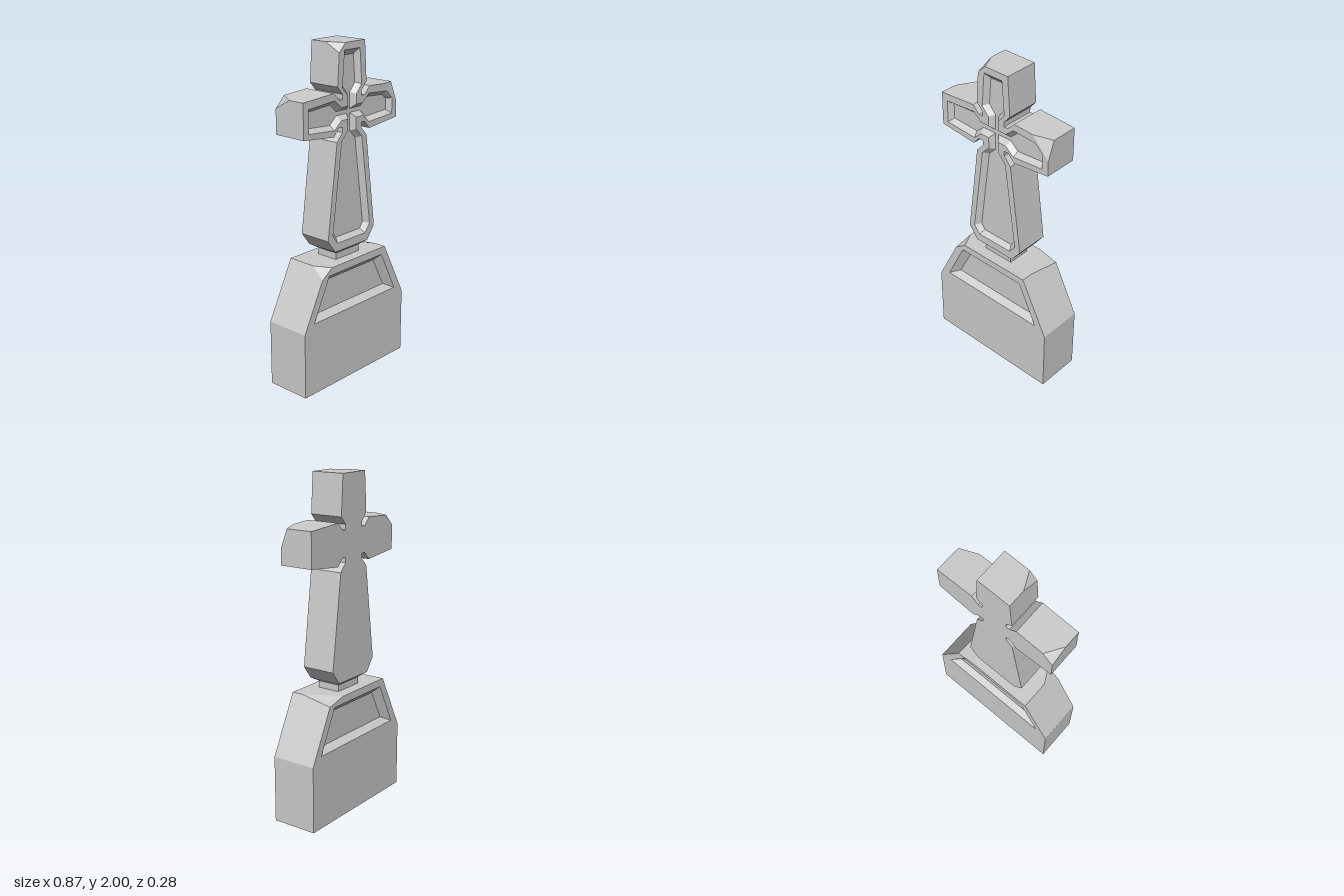
import * as THREE from 'three';

const mirror = half => [...half, ...half.slice().reverse().map(([x, y]) => [-x, y])];

function makeMesh(name, positions) {
  const geometry = new THREE.BufferGeometry();
  geometry.setAttribute('position', new THREE.Float32BufferAttribute(positions, 3));
  geometry.computeVertexNormals();
  const mesh = new THREE.Mesh(geometry, new THREE.MeshStandardMaterial({ color: 0xcccccc, flatShading: true }));
  mesh.name = name;
  return mesh;
}

// Stone slab from a counter-clockwise outline, with chipped corners and optional sunken panels.
// chips: { cornerIndex: { back, a, b, z } }; a and b lie on the edges before and after the corner.
function makeSlab(name, outline, zFront, zBack, chips, frontPanel, backPanel) {
  const out = [];
  const tri = (p, q, r) => out.push(...p, ...q, ...r);
  const at = (p, z) => [p[0], p[1], z];
  const corners = outline.map((p, i) => {
    const chip = chips[i];
    const cut = chip && [chip.a, chip.b];
    return { p, chip, front: chip && !chip.back ? cut : [p], back: chip && chip.back ? cut : [p] };
  });

  // side walls and chips
  corners.forEach((c, i) => {
    const n = corners[(i + 1) % corners.length];
    const a = at(c.front.at(-1), zFront), b = at(n.front[0], zFront);
    const a2 = at(c.back.at(-1), zBack), b2 = at(n.back[0], zBack);
    tri(a, a2, b2);
    tri(a, b2, b);
    if (!c.chip) return;
    const deep = at(c.p, c.chip.z);
    if (c.chip.back) {
      const A = at(c.chip.a, zBack), B = at(c.chip.b, zBack), P = at(c.p, zFront);
      tri(deep, A, B); tri(P, A, deep); tri(P, deep, B);
    } else {
      const A = at(c.chip.a, zFront), B = at(c.chip.b, zFront), P = at(c.p, zBack);
      tri(A, deep, B); tri(A, P, deep); tri(deep, P, B);
    }
  });

  // flat face with a hole, sloped panel walls and panel floor
  const face = (points, z, panel, dir) => {
    const put = (p, q, r) => (dir > 0 ? tri(p, q, r) : tri(p, r, q));
    const fill = (contour, hole, depth) => {
      const v = list => list.map(p => new THREE.Vector2(...p));
      const all = [...contour, ...hole];
      for (const f of THREE.ShapeUtils.triangulateShape(v(contour), hole.length ? [v(hole)] : []))
        put(...f.map(k => at(all[k], depth)));
    };
    fill(points, panel ? panel.rim.slice().reverse() : [], z);
    if (!panel) return;
    const floorZ = z - dir * panel.depth;
    fill(panel.floor, [], floorZ);
    panel.rim.forEach((p, i) => {
      const j = (i + 1) % panel.rim.length;
      const a = at(p, z), b = at(panel.rim[j], z);
      const a2 = at(panel.floor[i], floorZ), b2 = at(panel.floor[j], floorZ);
      put(a, b, b2);
      put(a, b2, a2);
    });
  };
  face(corners.flatMap(c => c.front), zFront, frontPanel, 1);
  face(corners.flatMap(c => c.back), zBack, backPanel, -1);
  return makeMesh(name, out);
}

// Rectangular rings [y, halfWidth, halfDepth] joined from bottom to top
function makeRings(name, rings) {
  const out = [];
  const ring = ([y, w, d]) => [[-w, y, d], [w, y, d], [w, y, -d], [-w, y, -d]];
  for (let k = 0; k < rings.length - 1; k++) {
    const lo = ring(rings[k]), hi = ring(rings[k + 1]);
    for (let i = 0; i < 4; i++) {
      const j = (i + 1) % 4;
      out.push(...lo[i], ...lo[j], ...hi[j], ...lo[i], ...hi[j], ...hi[i]);
    }
  }
  return makeMesh(name, out);
}

export function createModel() {
  const group = new THREE.Group();
  group.name = 'stoneCrossMonument';

  // plinth with a sunken panel on both faces
  const plinthOutline = mirror([[0.435, 0], [0.435, 0.4], [0.26, 0.745]]);
  const plinthPanel = {
    rim: mirror([[0.357, 0.445], [0.23, 0.7]]),
    floor: mirror([[0.295, 0.478], [0.2, 0.663]]),
    depth: 0.04,
  };
  group.add(makeSlab('plinth', plinthOutline, 0.14, -0.14, {
    2: { back: true, a: [0.275, 0.715], b: [0.15, 0.745], z: 0.07 },
    3: { a: [-0.21, 0.745], b: [-0.288, 0.69], z: 0.04 },
  }, plinthPanel, plinthPanel));

  // neck, flaring out to the foot of the cross
  group.add(makeRings('neck', [[0.74, 0.1, 0.07], [0.785, 0.1, 0.07], [0.81, 0.14, 0.103]]));

  // cross with notched inner corners
  const crossOutline = mirror([
    [0.14, 0.81], [0.2, 0.89], [0.125, 1.455], [0.08, 1.505], [0.08, 1.535],
    [0.11, 1.535], [0.15, 1.49], [0.39, 1.515], [0.39, 1.72], [0.15, 1.735],
    [0.105, 1.69], [0.08, 1.69], [0.08, 1.72], [0.12, 1.765], [0.105, 2],
  ]);

  // cross-shaped carving on the front, trimmed beside the chipped arm
  const rim = mirror([
    [0.12, 0.86], [0.16, 0.91], [0.085, 1.455], [0.035, 1.505], [0.035, 1.573],
    [0.09, 1.573], [0.145, 1.527], [0.35, 1.543], [0.35, 1.678], [0.145, 1.693],
    [0.09, 1.647], [0.035, 1.647], [0.035, 1.705], [0.08, 1.755], [0.063, 1.96],
  ]);
  const floor = mirror([
    [0.105, 0.885], [0.13, 0.92], [0.06, 1.445], [0.012, 1.495], [0.012, 1.598],
    [0.1, 1.598], [0.152, 1.553], [0.327, 1.565], [0.327, 1.656], [0.152, 1.667],
    [0.1, 1.622], [0.012, 1.622], [0.012, 1.715], [0.055, 1.765], [0.042, 1.927],
  ]);
  rim.splice(8, 1, [0.35, 1.635], [0.3, 1.682]);
  floor.splice(8, 1, [0.327, 1.63], [0.29, 1.658]);

  group.add(makeSlab('cross', crossOutline, 0.103, -0.105, {
    8: { a: [0.39, 1.61], b: [0.28, 1.727], z: 0.06 },
    15: { a: [-0.055, 2], b: [-0.107, 1.95], z: 0 },
    21: { back: true, a: [-0.325, 1.724], b: [-0.39, 1.66], z: 0 },
  }, { rim, floor, depth: 0.03 }));

  return group;
}
